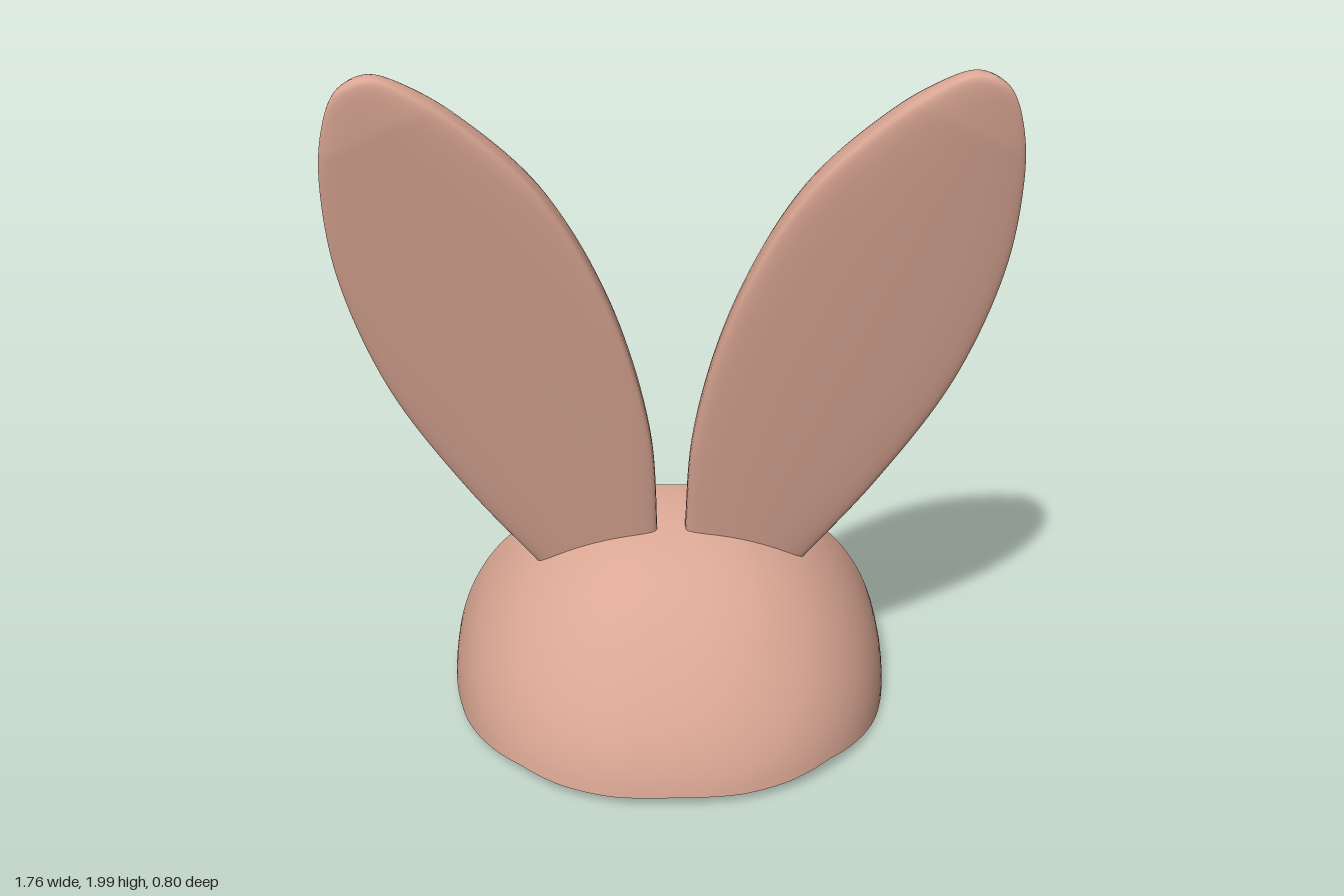
import * as THREE from 'three';
import { mergeVertices } from 'three/addons/utils/BufferGeometryUtils.js';

const skin = new THREE.MeshStandardMaterial({ color: 0xdba794 });
skin.name = 'dusty pink';

// Smooth grid surface from a rule fn(u, v) -> Vector3; faces look along du x dv.
function sheet(fn, nu, nv) {
  const pos = [], index = [];
  for (let i = 0; i <= nu; i++) {
    for (let j = 0; j <= nv; j++) {
      pos.push(...fn(i / nu, j / nv).toArray());
      if (i < nu && j < nv) {
        const a = i * (nv + 1) + j, b = a + nv + 1;
        index.push(a, b, b + 1, a, b + 1, a + 1);
      }
    }
  }
  let geo = new THREE.BufferGeometry();
  geo.setAttribute('position', new THREE.Float32BufferAttribute(pos, 3));
  geo.setIndex(index);
  geo = mergeVertices(geo, 1e-5);
  geo.computeVertexNormals();
  return geo;
}

function addMesh(parent, name, geo) {
  const mesh = new THREE.Mesh(geo, skin);
  mesh.name = name;
  parent.add(mesh);
}

// Wavy height of the lower edge, from the left back corner round the front to the right.
const hem = [0.03, 0, 0.006, 0.028, 0.045, 0.033, 0.028, 0.033, 0.028, 0.033, 0.045, 0.035, 0.025, 0.035, 0.035];
function hemHeight(phi) {
  const f = (phi / Math.PI) * (hem.length - 1);
  const i = Math.min(Math.floor(f), hem.length - 2);
  return THREE.MathUtils.lerp(hem[i], hem[i + 1], f - i);
}

// Thin wall that thickens into a lip along the sides of the back opening.
function wall(phi, k) {
  const nearBack = 1 - THREE.MathUtils.smoothstep(Math.min(phi, Math.PI - phi), 0.04, 0.1);
  return 0.006 + 0.022 * nearBack * (1 - THREE.MathUtils.smoothstep(k, 0.6, 0.9));
}

// Point on the half dome: phi runs round the front, k from hem to crown, inset 0 outside and 1 inside.
function domePoint(phi, k, inset) {
  const t = inset * wall(phi, k);
  const height = 0.645 - t;
  const start = Math.asin(hemHeight(phi) / height);
  const th = THREE.MathUtils.lerp(start, Math.PI / 2, k);
  const c = Math.cos(th), e = 2 / 2.32;
  const px = Math.sign(Math.cos(phi)) * Math.abs(Math.cos(phi)) ** e;
  const pz = Math.max(0, Math.sin(phi)) ** e;
  const back = -0.3 - 0.16 * c ** 2 + 0.075 * c ** 8;
  return new THREE.Vector3(
    (0.662 - t) * px * c,
    height * Math.sin(th),
    back + (0.787 - t) * pz * c
  );
}

function makeCap() {
  const cap = new THREE.Group();
  cap.name = 'cap';
  const P = Math.PI;
  addMesh(cap, 'capOutside', sheet((u, v) => domePoint(P * (1 - u), v, 0), 84, 32));
  addMesh(cap, 'capInside', sheet((u, v) => domePoint(P * u, v, 1), 84, 32));
  addMesh(cap, 'capHem', sheet((u, v) => domePoint(P * (1 - u), 0, 1 - v), 84, 1));
  addMesh(cap, 'capBackRim', sheet((u, v) =>
    domePoint(u < 0.5 ? 0 : P, u < 0.5 ? 2 * u : 2 - 2 * u, 1 - v), 64, 1));
  return cap;
}

// Ear edges as (x, y, bulge depth), both ending at the tip.
const curve = (pts) => new THREE.CatmullRomCurve3(pts.map((p) => new THREE.Vector3(...p)));
const innerEdge = curve([[0.038, 0.57, 0.165], [0.06, 0.95, 0.215], [0.163, 1.35, 0.24], [0.325, 1.67, 0.22],
  [0.52, 1.873, 0.15], [0.635, 1.955, 0.095], [0.715, 1.99, 0.05], [0.775, 1.985, 0]]);
const outerEdge = curve([[0.36, 0.46, 0.165], [0.575, 0.76, 0.215], [0.765, 1.1, 0.24], [0.865, 1.44, 0.22],
  [0.88, 1.7, 0.15], [0.862, 1.84, 0.095], [0.825, 1.94, 0.05], [0.775, 1.985, 0]]);

// Leaning plane through the widest outline of the ear, and its normal.
const onPlane = (p) => new THREE.Vector3(p.x, p.y, -0.225 + 0.226 * p.y - 0.05 * p.x);
const normal = new THREE.Vector3(0.05, -0.226, 1).normalize();

function makeEar(side) {
  const rows = 64;
  return sheet((u, v) => {
    const row = Math.round(u * rows);
    const t = Math.max(0, row - 1) / (rows - 1);
    const pi = innerEdge.getPoint(t), po = outerEdge.getPoint(t);
    const a = onPlane(pi), b = onPlane(po);
    const mid = a.clone().add(b).multiplyScalar(0.5);
    if (row > 0) { // first row closes the base
      const ang = -side * 2 * Math.PI * v;
      const s = Math.sin(ang), depth = Math.max(0, pi.z);
      // round back, flat front with a soft edge
      const off = s > 0 ? -depth * s : 0.034 * Math.sqrt(Math.min(1, depth / 0.12) * -s);
      mid.addScaledVector(b.sub(a), 0.5 * Math.cos(ang)).addScaledVector(normal, off);
    }
    mid.x *= side;
    return mid;
  }, rows, 56);
}

export function createModel() {
  const model = new THREE.Group();
  model.name = 'earedCap';
  model.add(makeCap());
  addMesh(model, 'leftEar', makeEar(1));
  addMesh(model, 'rightEar', makeEar(-1));
  return model;
}
